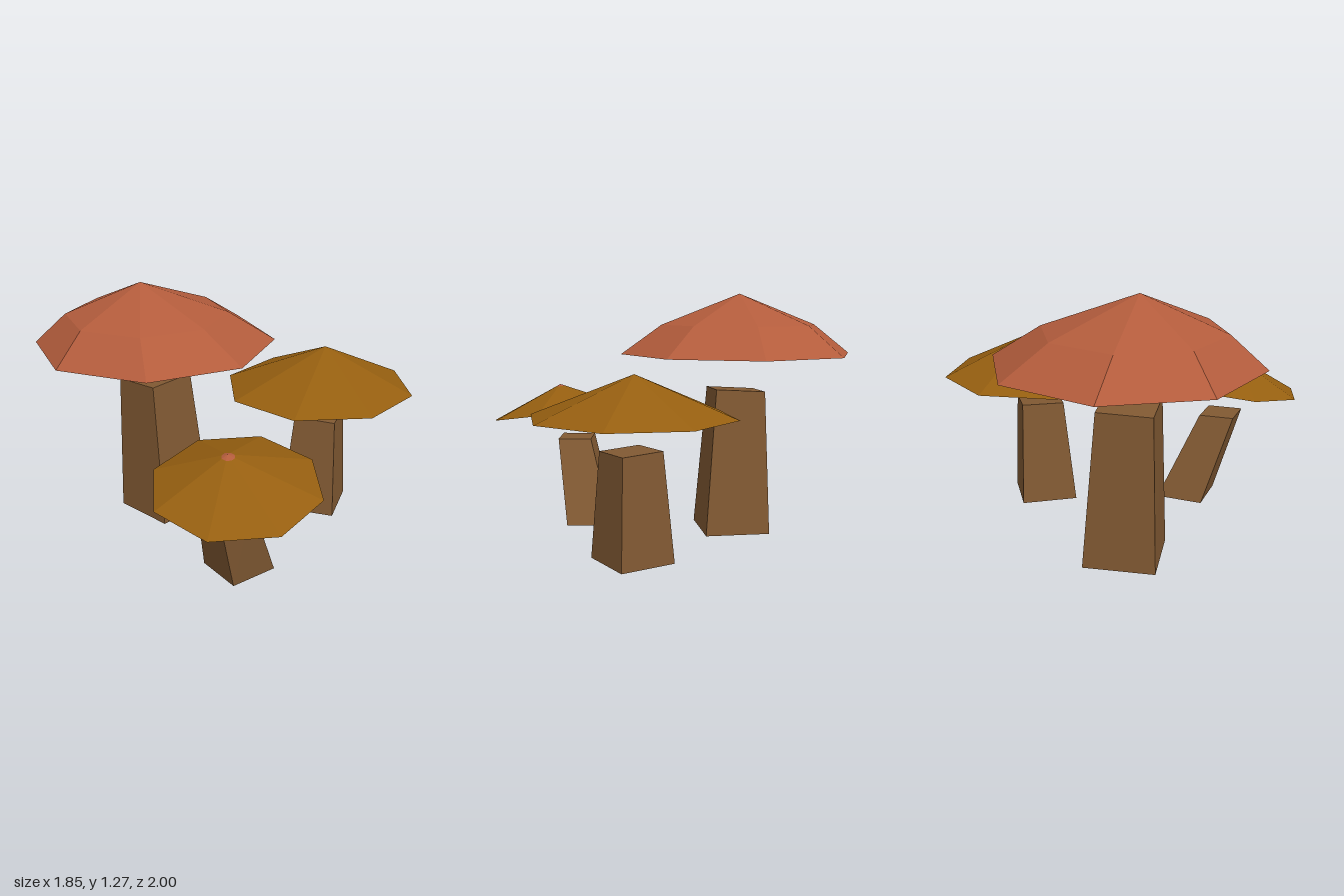
import * as THREE from 'three';

const material = (name, color, side = THREE.FrontSide) => {
  const m = new THREE.MeshStandardMaterial({ color, side, flatShading: true });
  m.name = name;
  return m;
};

// Regular polygon of n points around (x, z); tx and tz slope its plane.
function ring(n, x, y, z, r, turn = 0, tx = 0, tz = 0) {
  return Array.from({ length: n }, (_, i) => {
    const a = turn + (i / n) * Math.PI * 2;
    const dx = r * Math.cos(a), dz = r * Math.sin(a);
    return new THREE.Vector3(x + dx, y + tx * dx + tz * dz, z + dz);
  });
}

// Faceted skin through rings listed from bottom to top; a one-point ring is a tip.
function loft(rings) {
  const tris = [];
  for (let k = 0; k + 1 < rings.length; k++) {
    const a = rings[k], b = rings[k + 1];
    const n = Math.max(a.length, b.length);
    for (let i = 0; i < n; i++) {
      const j = (i + 1) % n;
      if (a.length > 1) tris.push(a[i], b[i % b.length], a[j]);
      if (b.length > 1) tris.push(a[j % a.length], b[i], b[j]);
    }
  }
  const g = new THREE.BufferGeometry().setFromPoints(tris);
  g.computeVertexNormals();
  return g;
}

function mesh(name, rings, mat) {
  const m = new THREE.Mesh(loft(rings), mat);
  m.name = name;
  return m;
}

const middle = (pts) =>
  [pts.reduce((s, p) => s.add(p), new THREE.Vector3()).divideScalar(pts.length)];

// Four-sided tapering stem, closed at both ends.
const stem = (name, base, top, mat) =>
  mesh(name, [middle(base), base, top, middle(top)], mat);

export function createModel() {
  const red = material('red cap', 0xb35c3c, THREE.DoubleSide);
  const amber = material('amber cap', 0x965f10, THREE.DoubleSide);
  const brown = material('brown stem', 0x825a33);
  const tip = (x, y, z) => [new THREE.Vector3(x, y, z)];

  // Tall mushroom: stepped red cap
  const tall = new THREE.Group();
  tall.name = 'tallMushroom';
  tall.add(
    stem('tallStem',
      ring(4, -0.33, 0, -0.397, 0.243, 0.42),
      ring(4, -0.357, 0.763, -0.41, 0.185, 0.43, 0.045, 0.04), brown),
    mesh('tallCap', [
      ring(8, -0.342, 0.957, -0.415, 0.623, -0.345),
      ring(8, -0.38, 1.11, -0.42, 0.42, -0.345),
      tip(-0.41, 1.275, -0.42)], red));

  // Wide mushroom: plain amber cone
  const wide = new THREE.Group();
  wide.name = 'wideMushroom';
  wide.add(
    stem('wideStem',
      ring(4, 0.41, 0.01, -0.025, 0.205),
      ring(4, 0.434, 0.544, -0.025, 0.154, 0, -0.025, -0.04), brown),
    mesh('wideCap', [ring(8, 0.425, 0.702, -0.03, 0.5), tip(0.476, 0.907, -0.052)], amber));

  // Small leaning mushroom: tilted amber cap with a red tip
  const small = new THREE.Group();
  small.name = 'smallMushroom';
  const rim = ring(8, -0.38, 0.6, 0.605, 0.39, -0.02, 0.075, -0.14);
  const peak = tip(-0.425, 0.76, 0.612);
  const spot = rim.map((p) => peak[0].clone().lerp(p, 0.08));
  small.add(
    stem('smallStem',
      ring(4, -0.258, 0.01, 0.378, 0.174, 0.61),
      ring(4, -0.395, 0.465, 0.505, 0.13, 0.62, -0.03, 0), brown),
    mesh('smallCap', [rim, spot], amber),
    mesh('smallCapTip', [spot, peak], red));

  const model = new THREE.Group();
  model.name = 'mushrooms';
  model.add(tall, wide, small);
  return model;
}
